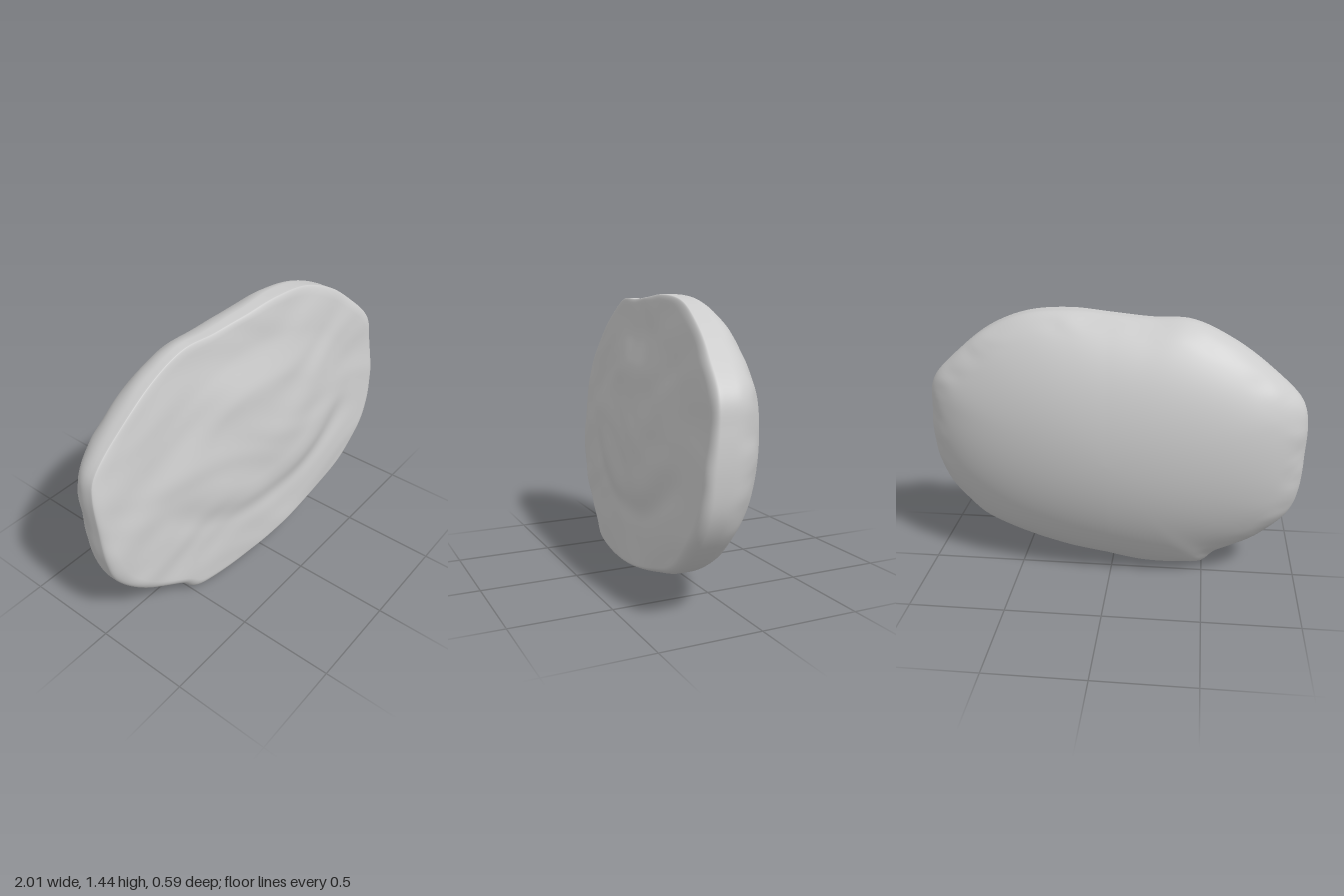
import * as THREE from 'three';

const CY = 0.73;   // height of the stone's middle
const HALF = 0.715; // half height
const AROUND = 220;

// Irregular outline of the stone, counter-clockwise seen from the front
const outline = new THREE.CatmullRomCurve3([
  [1, 0.7], [0.995, 0.9], [0.97, 1.04], [0.82, 1.2], [0.65, 1.33], [0.45, 1.415], [0.22, 1.44],
  [0, 1.425], [-0.2, 1.412], [-0.4, 1.41], [-0.6, 1.325], [-0.8, 1.185], [-0.97, 1.02], [-1, 0.92],
  [-1, 0.7], [-0.99, 0.54], [-0.95, 0.4], [-0.8, 0.24], [-0.58, 0.11], [-0.5, 0.03], [-0.4, 0.01],
  [-0.2, 0.004], [0, 0.03], [0.2, 0.065], [0.45, 0.125], [0.7, 0.21], [0.88, 0.37], [0.97, 0.52],
].map(([x, y]) => new THREE.Vector3(x, y - CY, 0)), true);

const smooth = THREE.MathUtils.smoothstep;

// Gentle bumps, stretched sideways
function bumps(x, y) {
  return 0.003 * Math.sin(5 * x + 9 * y + 1.5 * Math.sin(4 * x))
    + 0.0025 * Math.sin(19 * y - 4 * x + 2 * Math.sin(5 * x + 1))
    + 0.0015 * Math.sin(11 * x + 2 * Math.sin(9 * y)) * Math.sin(23 * y + 2 * Math.sin(6 * x));
}

// Tilted front face with a raised oval in the middle, deepest along its lower side
function frontZ(x, y) {
  const oval = Math.hypot((x - 0.03) / 0.62, (y - 0.06) / 0.4);
  const raised = 0.022 * (1 - smooth(oval, 0.65, 1.2));
  const lower = smooth(-y, -0.1, 0.25);
  const groove = -0.009 * lower * Math.exp(-(((oval - 1.08) / 0.18) ** 2));
  return 0.203 + 0.1 * x - 0.03 * x * x - 0.105 * y - 0.067 * y * y + raised + groove + bumps(x, y);
}

// Tilted surface on which the domed back starts, further forward at the left end
function backRimZ(x, y) {
  const left = Math.max(x, 0);
  return 0.073 + 0.065 * x - 0.055 * y + 0.022 * left * left - 0.04 * left * y;
}

// Point on a ring; s = 1 is the outline, smaller rings turn into ellipses
function ringPoint(rim, s) {
  const a = Math.atan2(rim.y / HALF, rim.x);
  const k = s ** 5;
  return [
    s * THREE.MathUtils.lerp(Math.cos(a), rim.x, k),
    s * THREE.MathUtils.lerp(HALF * Math.sin(a), rim.y, k),
  ];
}

function stoneGeometry() {
  // Rings run from the front centre over the rounded rim to the back centre;
  // round is the progress of the front rounding, wall that of the rim behind it
  const rings = [];
  for (let i = 0; i <= 44; i++) rings.push({ s: 0.95 * i / 44, round: 0, wall: 0 });
  for (let i = 1; i <= 8; i++) {
    const a = i / 8 * Math.PI / 2;
    rings.push({ s: 0.95 + 0.05 * Math.sin(a), round: 1 - Math.cos(a), wall: 0 });
  }
  for (let i = 1; i <= 3; i++) rings.push({ s: 1, round: 1, wall: i / 4 });
  for (let i = 0; i <= 44; i++) rings.push({ s: Math.cos(i / 44 * Math.PI / 2), round: 1, wall: 1 });

  const rims = Array.from({ length: AROUND }, (_, j) => outline.getPointAt(j / AROUND));
  const positions = [];
  for (const { s, round, wall } of rings) {
    for (const rim of rims) {
      const [x, y] = ringPoint(rim, s);
      // The edge is rounder at the bottom than at the top
      const rounding = round * (0.35 - 0.3 * y);
      const t = THREE.MathUtils.lerp(rounding, 1, wall);
      let z = THREE.MathUtils.lerp(frontZ(x, y), backRimZ(x, y), t);
      if (wall === 1) {
        // Domed back, fuller to the sides than up and down; small dents near the rim
        const sin2 = y * y / (x * x + y * y + 1e-9);
        const power = 0.53 + 0.09 * sin2 - 0.06 * smooth(Math.abs(x), 0, 0.8);
        z += smooth(s, 0.85, 0.98) * bumps(2 * x, 2 * y) - 0.355 * Math.max(0, 1 - s * s) ** power;
      }
      positions.push(x, y + CY, z);
    }
  }

  const index = [];
  for (let i = 0; i < rings.length - 1; i++) {
    for (let j = 0; j < AROUND; j++) {
      const n = (j + 1) % AROUND;
      const a = i * AROUND + j, b = i * AROUND + n;
      const c = a + AROUND, d = b + AROUND;
      if (i > 0) index.push(a, d, b);
      index.push(a, c, d);
    }
  }
  const geometry = new THREE.BufferGeometry();
  geometry.setAttribute('position', new THREE.Float32BufferAttribute(positions, 3));
  geometry.setIndex(index);
  geometry.computeVertexNormals();
  return geometry;
}

export function createModel() {
  const group = new THREE.Group();
  const stone = new THREE.Mesh(stoneGeometry(), new THREE.MeshStandardMaterial({ color: 0xcccccc }));
  stone.name = 'stone';
  group.add(stone);
  return group;
}
